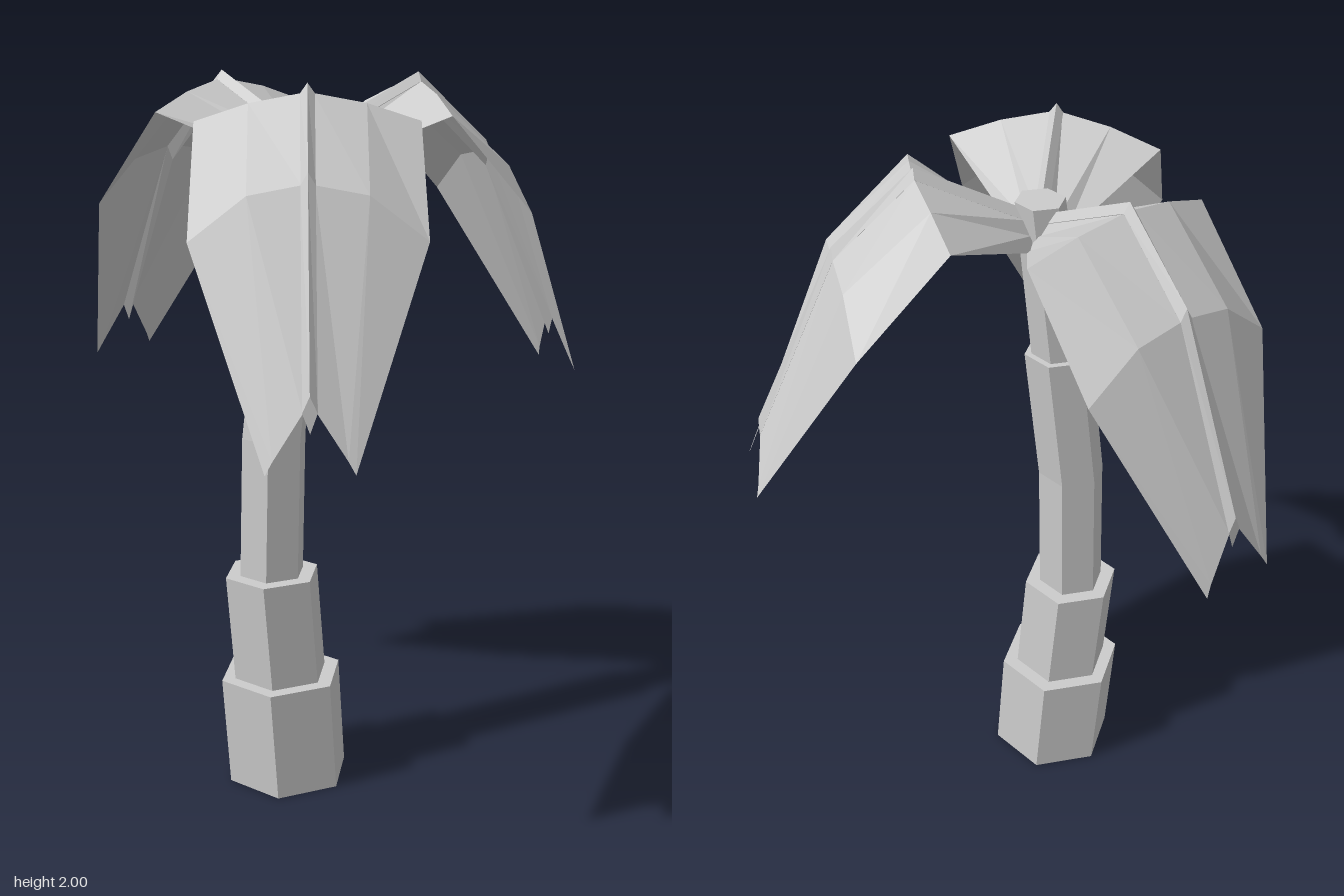
import * as THREE from 'three';

const material = new THREE.MeshStandardMaterial({ color: 0xcccccc, flatShading: true, side: THREE.DoubleSide });

// Skin rows of points; closed rows become a tube with end caps
function skin(name, rows, closed) {
  const n = rows[0].length, index = [];
  const at = (i, j) => i * n + (j % n);
  for (let i = 0; i < rows.length - 1; i++) {
    for (let j = 0; j < (closed ? n : n - 1); j++) {
      index.push(at(i, j), at(i, j + 1), at(i + 1, j));
      index.push(at(i, j + 1), at(i + 1, j + 1), at(i + 1, j));
    }
  }
  if (closed) {
    const last = rows.length - 1;
    for (let j = 1; j < n - 1; j++) {
      index.push(at(0, 0), at(0, j + 1), at(0, j));
      index.push(at(last, 0), at(last, j), at(last, j + 1));
    }
  }
  let geometry = new THREE.BufferGeometry();
  geometry.setAttribute('position', new THREE.Float32BufferAttribute(rows.flat(2), 3));
  geometry.setIndex(index);
  geometry = geometry.toNonIndexed();
  geometry.computeVertexNormals();
  const mesh = new THREE.Mesh(geometry, material);
  mesh.name = name;
  return mesh;
}

// Horizontal six-sided ring with corners on the x axis
function hexRing([x, y, r]) {
  return Array.from({ length: 6 }, (_, k) => {
    const a = (k * Math.PI) / 3;
    return [x + r * Math.cos(a), y, -0.007 - r * Math.sin(a)];
  });
}

// Frond pointing along +x, measured from the trunk axis
function makeFrond() {
  const frond = new THREE.Group();

  // Rib stations: x, top y, shoulder y, bottom y
  const rib = [
    [0.04, 1.86, 1.835, 1.80],
    [0.32, 2.0, 1.975, 1.94],
    [0.53, 1.81, 1.78, 1.74],
    [0.75, 1.33, 1.29, 1.24],
  ];
  const w = 0.018;
  frond.add(skin('frondRib', rib.map(([x, top, mid, low]) => [
    [x, top, 0], [x, mid, w], [x, low, 0], [x, mid, -w],
  ]), true));

  // Half blade at each station: crease and outer edge as x, y, z
  const blade = [
    [[0.03, 1.80, 0.035], [0.025, 1.765, 0.06]],
    [[0.305, 1.95, 0.145], [0.285, 1.905, 0.28]],
    [[0.525, 1.755, 0.145], [0.52, 1.645, 0.287]],
    [[0.772, 1.18, 0.088], [0.78, 1.15, 0.105]],
  ];
  frond.add(skin('frondBlade', blade.map((half, i) => {
    const right = [[rib[i][0], rib[i][2], w * 0.9], ...half];
    const left = right.map(([x, y, z]) => [x, y, -z]).reverse();
    return [...left, ...right];
  }), false));
  return frond;
}

export function createModel() {
  const model = new THREE.Group();
  model.name = 'palmTree';

  // Leaning trunk sections: centre x, y, radius
  const trunk = new THREE.Group();
  trunk.name = 'trunk';
  const sections = {
    trunkBase: [[-0.227, 0, 0.178], [-0.245, 0.32, 0.179]],
    trunkLower: [[-0.247, 0.32, 0.137], [-0.268, 0.63, 0.137]],
    trunkMiddle: [[-0.268, 0.63, 0.094], [-0.255, 1.03, 0.093], [-0.205, 1.43, 0.092]],
    trunkUpper: [[-0.205, 1.43, 0.073], [-0.146, 1.88, 0.066]],
  };
  for (const [name, rings] of Object.entries(sections)) {
    trunk.add(skin(name, rings.map(hexRing), true));
  }
  model.add(trunk);

  // Three drooping fronds around the crown
  const fronds = { frondSide: 0, frondFront: -111.5, frondBack: 116 };
  for (const [name, degrees] of Object.entries(fronds)) {
    const frond = makeFrond();
    frond.name = name;
    frond.position.set(-0.145, 0, -0.008);
    frond.rotation.y = THREE.MathUtils.degToRad(degrees);
    model.add(frond);
  }
  return model;
}
